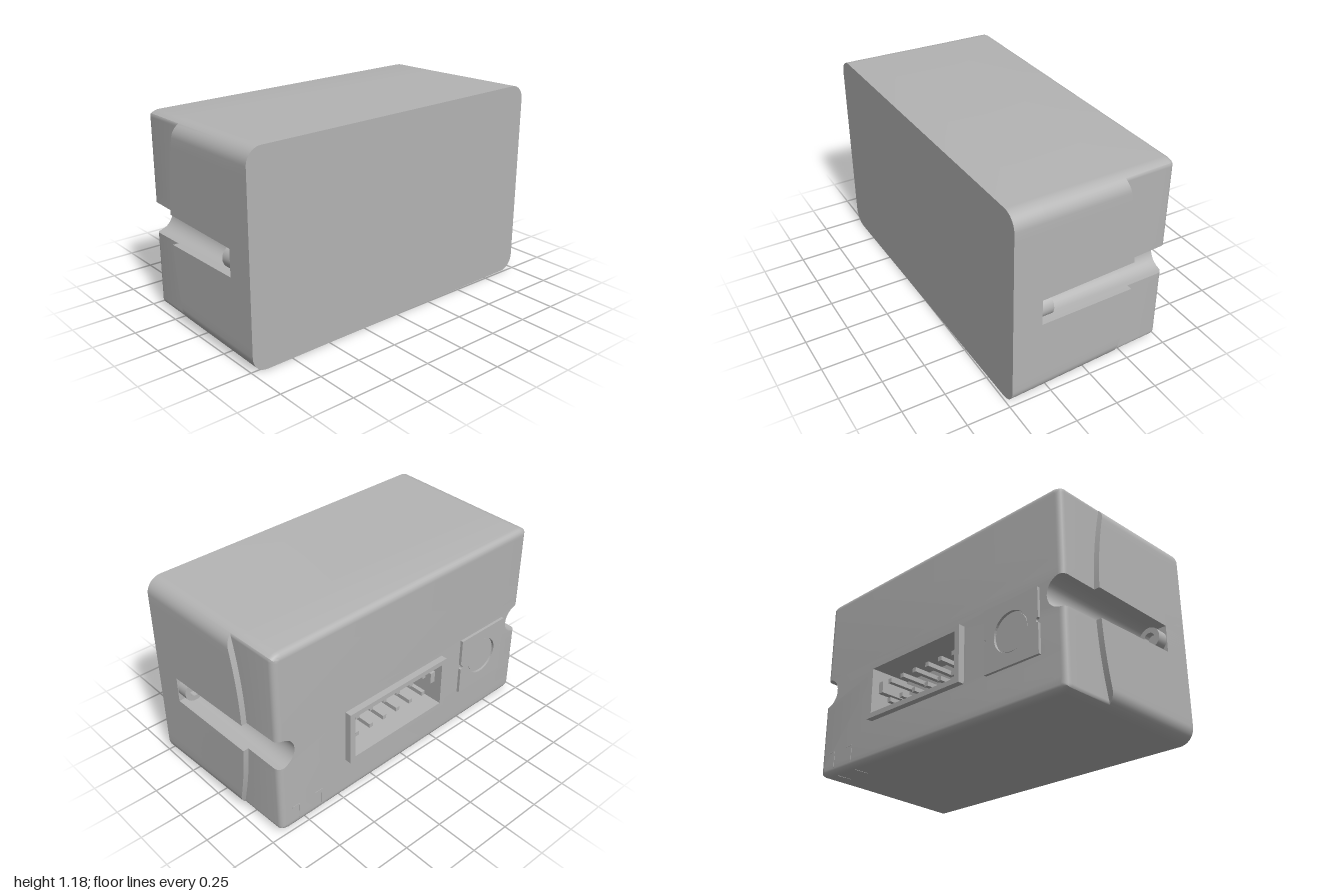
import * as THREE from 'three';
import { toCreasedNormals } from 'three/addons/utils/BufferGeometryUtils.js';

const FRONT = 0.5025, BACK = -0.478, MID = 0.5925;
const GROOVE_X = 0.932, GROOVE_Y = 0.552, GROOVE_END = 0.33;
const STEP = 0.033, FILLET = 0.035;

// Drafted half width and half height at depth z
const halfW = z => 0.9998 - 0.0175 * (FRONT - z);
const halfH = z => MID - 0.0175 * (FRONT - z);
// Curved edge of the recessed grip on each side
const stepZ = y => -0.24 + 0.08 * Math.min(1, ((y - MID) / 0.575) ** 2);

// One cross-section: rounded rectangle, optional side grooves, optional side recess
function ring(z, { groove = true, recess = false, inset = 0, curved = false } = {}) {
  const w = halfW(z) - inset, h = halfH(z) - inset, r = 0.09 - inset;
  const lim = w - (recess ? STEP : 0);
  const gr = 0.078 + 0.0165 * (GROOVE_END - z);
  const half = [];
  const corner = (sign, from) => {
    for (let i = 0; i <= 10; i++) {
      const a = from + (i / 10) * Math.PI / 2;
      half.push([w - r + r * Math.cos(a), MID + sign * (h - r) + r * Math.sin(a)]);
    }
  };
  const side = (y0, y1) => {
    for (let i = 1; i < 8; i++) half.push([w, y0 + (y1 - y0) * i / 8]);
  };
  corner(-1, -Math.PI / 2);
  side(MID - h + r, GROOVE_Y - gr);
  half.push([w, GROOVE_Y - gr]);
  for (let i = 0; i <= 16; i++) {
    const t = -Math.PI / 2 + Math.PI * i / 16;
    half.push([groove ? GROOVE_X - gr * Math.cos(t) : w, GROOVE_Y + gr * Math.sin(t)]);
  }
  half.push([w, GROOVE_Y + gr]);
  side(GROOVE_Y + gr, MID + h - r);
  corner(1, 0);
  const right = half.map(([x, y]) => new THREE.Vector3(Math.min(x, lim), y, curved ? stepZ(y) : z));
  const left = right.map(p => new THREE.Vector3(-p.x, p.y, p.z)).reverse();
  return right.concat(left);
}

function rectPoints(x, y, w, h) {
  return [[-1, -1], [1, -1], [1, 1], [-1, 1]].map(([a, b]) => new THREE.Vector2(x + a * w / 2, y + b * h / 2));
}

function bodyGeometry(holes) {
  const rings = [
    ring(FRONT, { groove: false }), ring(GROOVE_END, { groove: false }), ring(GROOVE_END),
    ring(-0.2, { curved: true }), ring(-0.2, { curved: true, recess: true }),
  ];
  for (let i = 0; i <= 5; i++) {
    const a = i / 5 * Math.PI / 2;
    rings.push(ring(BACK + FILLET * (1 - Math.sin(a)), { recess: true, inset: FILLET * (1 - Math.cos(a)) }));
  }
  const pos = [], n = rings[0].length;
  const tri = (a, b, c) => {
    const area = b.clone().sub(a).cross(c.clone().sub(a)).length();
    if (area > 1e-9) for (const p of [a, b, c]) pos.push(p.x, p.y, p.z);
  };
  for (let k = 0; k + 1 < rings.length; k++) {
    for (let i = 0; i < n; i++) {
      const j = (i + 1) % n, f = rings[k], b = rings[k + 1];
      tri(f[i], b[i], b[j]);
      tri(f[i], b[j], f[j]);
    }
  }
  // End caps, the back one with openings
  const cap = (loop, cuts, facing) => {
    const z = loop[0].z, outline = loop.map(p => new THREE.Vector2(p.x, p.y));
    const all = [outline, ...cuts].flat().map(p => new THREE.Vector3(p.x, p.y, z));
    for (const [a, b, c] of THREE.ShapeUtils.triangulateShape(outline, cuts)) {
      const A = all[a], B = all[b], C = all[c];
      const s = (B.x - A.x) * (C.y - A.y) - (B.y - A.y) * (C.x - A.x);
      if (s * facing > 0) tri(A, B, C); else tri(A, C, B);
    }
  };
  cap(rings[0], [], 1);
  cap(rings[rings.length - 1], holes, -1);
  const g = new THREE.BufferGeometry();
  g.setAttribute('position', new THREE.Float32BufferAttribute(pos, 3));
  return toCreasedNormals(g, 0.5);
}

export function createModel() {
  const grey = new THREE.MeshStandardMaterial({ color: 0xb4b4b4 });
  grey.name = 'grey plastic';
  const model = new THREE.Group();
  model.name = 'enclosure';
  const add = (name, geo, x = 0, y = 0, z = 0, parent = model) => {
    const m = new THREE.Mesh(geo, grey);
    m.name = name;
    m.position.set(x, y, z);
    parent.add(m);
    return m;
  };
  const box = (name, w, h, d, x, y, z, parent) => add(name, new THREE.BoxGeometry(w, h, d), x, y, z, parent);
  const extrude = (shape, depth) =>
    new THREE.ExtrudeGeometry(shape, { depth, bevelEnabled: false, curveSegments: 24 });

  // Main shell
  const SX = 0.113, SY = 0.4225, SW = 0.75, SH = 0.335;
  add('body', bodyGeometry([rectPoints(SX, SY, SW - 0.02, SH - 0.02).reverse()]));

  // Pin socket: open frame, floor, two rows of pins, keying blocks
  const socket = new THREE.Group();
  socket.name = 'socket';
  socket.position.set(SX, SY, -0.517);
  model.add(socket);
  const frame = new THREE.Shape(rectPoints(0, 0, SW, SH));
  frame.holes.push(new THREE.Path(rectPoints(0, 0, SW - 0.07, SH - 0.06).reverse()));
  add('socketFrame', extrude(frame, 0.27), 0, 0, 0, socket);
  box('socketFloor', SW, SH, 0.02, 0, 0, 0.27, socket);
  for (const y of [-0.06, 0.06]) {
    for (let i = 0; i < 6; i++) box('pin', 0.026, 0.026, 0.2, (i - 2.5) * 0.105, y, 0.165, socket);
  }
  for (const s of [-1, 1]) box('socketKey', 0.04, 0.07, 0.2, s * 0.325, 0.03, 0.15, socket);

  // Push button: notched square plate with a round cap in its opening
  const BX = -0.61, BY = 0.43, b = 0.185, q = 0.014;
  const plate = new THREE.Shape();
  plate.moveTo(-b, -b).lineTo(b, -b).lineTo(b, -q);
  plate.absarc(b, 0, q, -Math.PI / 2, Math.PI / 2, true);
  plate.lineTo(b, b).lineTo(-b, b).lineTo(-b, q);
  plate.absarc(-b, 0, q, Math.PI / 2, -Math.PI / 2, true);
  plate.lineTo(-b, -b);
  const opening = new THREE.Path();
  opening.absarc(0, 0, 0.115, 0, Math.PI * 2, true);
  plate.holes.push(opening);
  add('buttonPlate', extrude(plate, 0.02), BX, BY, -0.495);
  const cap = add('buttonCap', new THREE.CylinderGeometry(0.107, 0.107, 0.012, 40), BX, BY, -0.481);
  cap.rotation.x = Math.PI / 2;

  // Socket-head screw at the end of each side groove
  const screwProfile = [[0, 0.03], [0.032, 0.03], [0.032, 0.07], [0.063, 0.07], [0.063, 0]]
    .map(([r, y]) => new THREE.Vector2(r, y)).reverse();
  const screwGeo = toCreasedNormals(new THREE.LatheGeometry(screwProfile, 28), 0.5);
  for (const s of [-1, 1]) {
    const screw = add('screw', screwGeo, s * GROOVE_X, GROOVE_Y, GROOVE_END);
    screw.rotation.x = -Math.PI / 2;
  }

  // Fine seams of the snap tab, wrapping the lower back edge
  for (const x of [0.665, 0.825]) {
    box('tabSeam', 0.006, 0.1, 0.004, x, 0.105, BACK);
    box('tabSeam', 0.05, 0.006, 0.004, x + 0.025, 0.155, BACK);
    box('tabSeam', 0.006, 0.004, 0.1, x, 0.016, -0.39);
  }

  // Slight twist of the whole case on its stand
  model.rotation.y = 0.0175;
  model.position.x = -0.009;
  return model;
}
